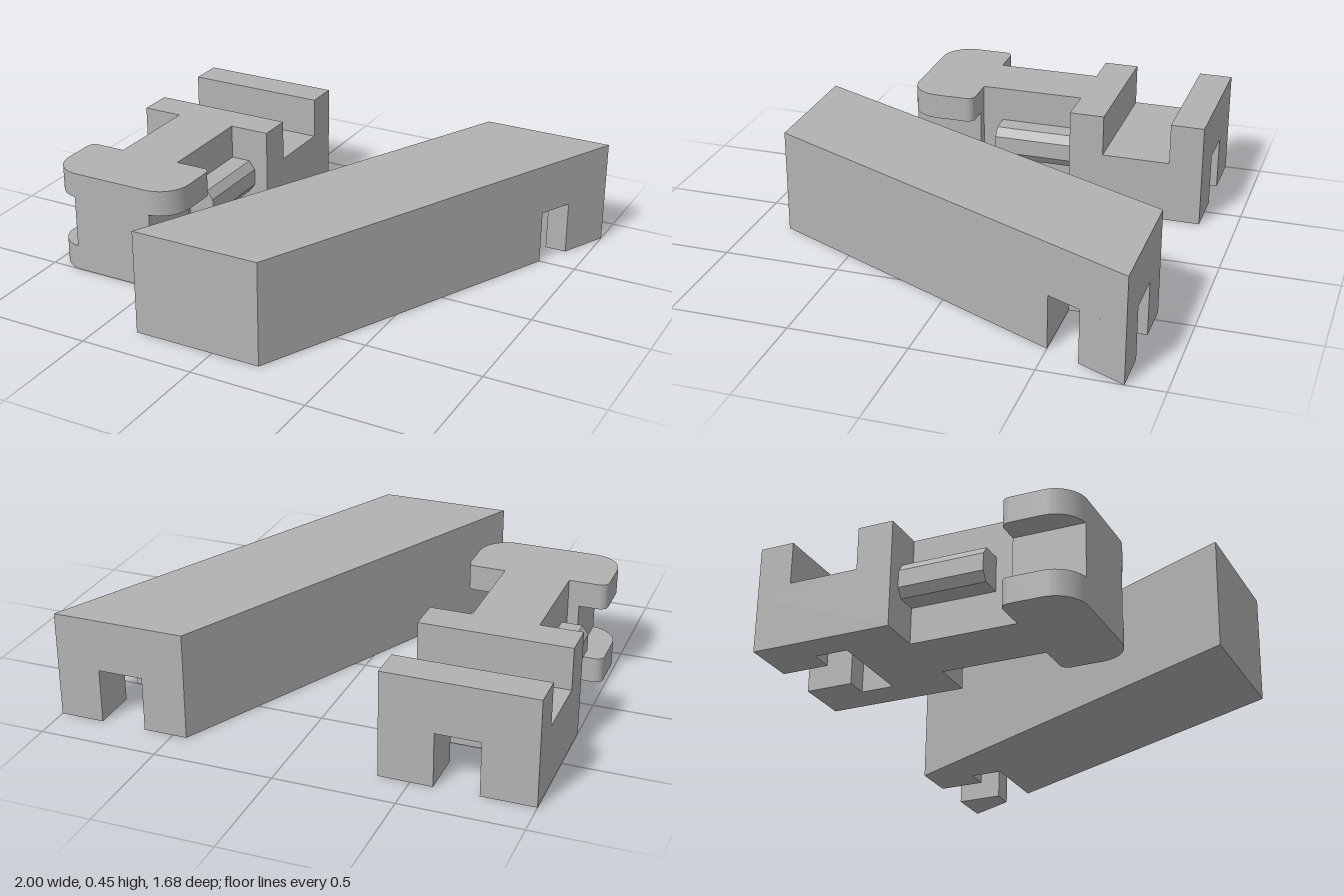
import * as THREE from 'three';
import { toCreasedNormals } from 'three/addons/utils/BufferGeometryUtils.js';

const grey = new THREE.MeshStandardMaterial({ color: 0xb2b2b2 });
grey.name = 'plain grey';

const H = 0.45;        // overall height
const POCKET = 0.23;   // pocket depth from below
const CX = -0.685;     // centre line of the clip

function addMesh(parent, name, geometry) {
  const mesh = new THREE.Mesh(geometry, grey);
  mesh.name = name;
  parent.add(mesh);
  return mesh;
}

// Extrudes a plan shape, drawn as (x, -z), from y0 up to y1
function slab(parent, name, shape, y0, y1) {
  const g = new THREE.ExtrudeGeometry(shape, { depth: y1 - y0, bevelEnabled: false, curveSegments: 10 });
  g.rotateX(-Math.PI / 2).translate(0, y0, 0);
  return addMesh(parent, name, toCreasedNormals(g, 0.6));
}

// Plan polygon from [x, z] pairs
function plan(points) {
  return new THREE.Shape(points.map(([x, z]) => new THREE.Vector2(x, -z)));
}

function box(parent, name, x0, x1, y0, y1, z0, z1) {
  const g = new THREE.BoxGeometry(x1 - x0, y1 - y0, z1 - z0);
  g.translate((x0 + x1) / 2, (y0 + y1) / 2, (z0 + z1) / 2);
  return addMesh(parent, name, g);
}

// Head outline: large radii at the front, small ones at the back
function headShape() {
  const x0 = CX - 0.3, x1 = CX + 0.3, f = -0.5, b = -0.2, R = 0.13, r = 0.035;
  const s = new THREE.Shape();
  s.moveTo(x0 + R, f);
  s.lineTo(x1 - R, f);
  s.absarc(x1 - R, f + R, R, -Math.PI / 2, 0);
  s.lineTo(x1, b - r);
  s.absarc(x1 - r, b - r, r, 0, Math.PI / 2);
  s.lineTo(x0 + r, b);
  s.absarc(x0 + r, b - r, r, Math.PI / 2, Math.PI);
  s.lineTo(x0, f + R);
  s.absarc(x0 + R, f + R, R, Math.PI, Math.PI * 1.5);
  return s;
}

function slantedBlock() {
  const group = new THREE.Group();
  group.name = 'slantedBlock';
  slab(group, 'blockTop', plan([[-0.35, 0.84], [0.21, 0.84], [1, -0.84], [0.44, -0.84]]), POCKET, H);
  // Lower half is cut by a T-shaped pocket that breaks through the slanted side
  slab(group, 'blockBottom', plan([
    [-0.35, 0.84], [0.21, 0.84], [0.84, -0.5], [0.53, -0.5],
    [0.53, -0.64], [0.625, -0.64], [0.625, -0.84], [0.44, -0.84],
  ]), 0, POCKET);
  slab(group, 'blockBackFoot', plan([[0.815, -0.84], [0.815, -0.64], [0.906, -0.64], [1, -0.84]]), 0, POCKET);
  return group;
}

function clip() {
  const group = new THREE.Group();
  group.name = 'clip';
  const x0 = -1, x1 = -0.37, back = -0.84, front = -0.25, floor = 0.27;

  // Base with a T-shaped pocket below and a channel across the top
  slab(group, 'baseBottom', plan([
    [x0, front], [x1, front], [x1, back],
    [CX + 0.092, back], [CX + 0.092, -0.64], [CX + 0.185, -0.64], [CX + 0.185, -0.5],
    [CX - 0.185, -0.5], [CX - 0.185, -0.64], [CX - 0.092, -0.64], [CX - 0.092, back],
    [x0, back],
  ]), 0, POCKET);
  box(group, 'channelFloor', x0, x1, POCKET, floor, back, front);
  box(group, 'backRib', x0, x1, floor, H, back, -0.695);
  box(group, 'frontRib', x0, x1, floor, H, -0.4, front);

  // Neck and head, the head notched at both sides
  box(group, 'neck', CX - 0.138, CX + 0.138, 0, H, front, 0.2);
  slab(group, 'headLowerFlange', headShape(), 0, 0.11);
  box(group, 'headCore', CX - 0.185, CX + 0.185, 0.11, 0.34, 0.2, 0.5);
  slab(group, 'headUpperFlange', headShape(), 0.34, H);

  // Chamfered bars along both sides of the neck
  for (const s of [-1, 1]) {
    const bar = new THREE.Shape([
      [0.138, 0.153], [0.225, 0.153], [0.252, 0.19],
      [0.252, 0.263], [0.225, 0.3], [0.138, 0.3],
    ].map(([x, y]) => new THREE.Vector2(CX + s * x, y)));
    const g = new THREE.ExtrudeGeometry(bar, { depth: 0.36, bevelEnabled: false });
    g.translate(0, 0, front);
    addMesh(group, s < 0 ? 'rightBar' : 'leftBar', g);
  }
  return group;
}

export function createModel() {
  const model = new THREE.Group();
  model.name = 'blockAndClip';
  model.add(slantedBlock(), clip());
  return model;
}
